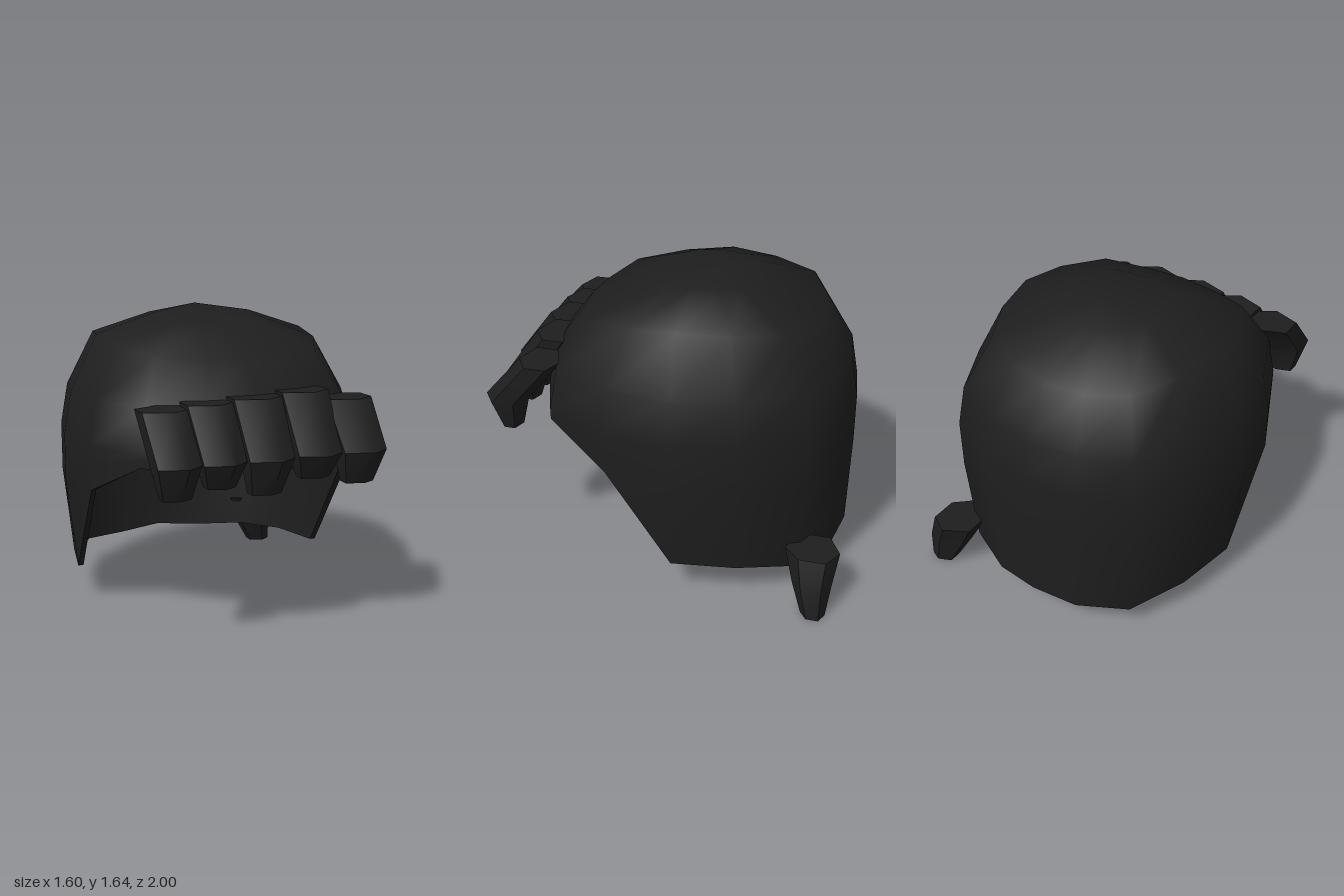
import * as THREE from 'three';
import { toCreasedNormals } from 'three/addons/utils/BufferGeometryUtils.js';

// Skin a stack of rings (top ring first, each counterclockwise from above).
function loft(rings, crease) {
  const n = rings[0].length, index = [];
  for (let i = 0; i < rings.length - 1; i++) {
    for (let j = 0; j < n; j++) {
      const a = i * n + j, b = i * n + (j + 1) % n, c = a + n, d = b + n;
      index.push(a, c, b, b, c, d);
    }
  }
  const geo = new THREE.BufferGeometry();
  geo.setAttribute('position', new THREE.Float32BufferAttribute(rings.flat(2), 3));
  geo.setIndex(index);
  return toCreasedNormals(geo, crease);
}

const centre = (ring) => {
  const mid = [0, 1, 2].map((k) => ring.reduce((s, p) => s + p[k], 0) / ring.length);
  return ring.map(() => mid);
};

// Half outline from back to front: x, z at the widest level, rim height, shoulder height
const OUTLINE = [
  [0, -0.96, 0.165, 1.44], [0.28, -0.92, 0.145, 1.45], [0.57, -0.79, 0.16, 1.47],
  [0.73, -0.47, 0.19, 1.49], [0.8, -0.12, 0.2, 1.5], [0.75, 0.23, 0.72, 1.47],
  [0.59, 0.58, 0.9, 1.43], [0.29, 0.7, 0.85, 1.4], [0, 0.73, 0.88, 1.4],
];
const MID_Z = -0.12;

function capRings(scale, drop) {
  const half = (fn) => {
    const side = OUTLINE.map(fn);
    const left = side.slice(1, -1).reverse();
    return [...side.map(([x, y, z]) => [-x, y, z]), ...left];
  };
  const ring = (s, heightOf) => half(([x, z, rim, shoulder]) => {
    const y = heightOf(rim, shoulder);
    // sides pull in slightly towards the rim
    const low = Math.max(0, (0.7 - y) / 0.5);
    const k = s * scale;
    return [x * k * (1 - 0.075 * low), y, MID_Z + (z - MID_Z) * k * (1 - 0.02 * low)];
  });
  const rings = [
    half(() => [0, 1.645 - drop, -0.22]),
    ring(0.36, (r, sh) => 1.585 - drop + (sh - 1.45) * 0.4),
    ring(0.76, (r, sh) => sh - drop),
    ring(0.95, () => 1.19 - drop / 2),
    ring(1, () => 0.96),
  ];
  for (const t of [0.35, 0.7, 1]) rings.push(ring(1, (r) => 0.96 + (r - 0.96) * t));
  return rings;
}

// A tapering, bent six-sided lock; each section is [x, y, z, half width, half depth].
const HEX = [[-1, -0.5], [-1, 0.6], [0.2, 1], [1, 0.4], [1, -0.6], [0.1, -1]];
function lock(name, sections, material) {
  const rings = sections.map(([x, y, z, w, d]) =>
    HEX.map(([u, v]) => [x + u * w, y, z + v * d]));
  rings.unshift(centre(rings[0]));
  rings.push(centre(rings[rings.length - 1]));
  const mesh = new THREE.Mesh(loft(rings, 0.8), material);
  mesh.name = name;
  return mesh;
}

export function createModel() {
  const group = new THREE.Group();
  group.name = 'hairpiece';
  const hair = new THREE.MeshStandardMaterial({ color: 0x1e1e1e });
  hair.name = 'black hair';

  // Outer hair cap
  const outer = capRings(1, 0);
  const cap = new THREE.Mesh(loft(outer, 1.1), hair);
  cap.name = 'hairCap';
  group.add(cap);

  // Inside of the cap, joined to the outer rim
  const inner = capRings(0.96, 0.035).reverse();
  const lining = new THREE.Mesh(loft([outer[outer.length - 1], ...inner], 0.8), hair);
  lining.name = 'capLining';
  group.add(lining);

  // Fringe locks: centre x, half width, top y, tip y, tip x, back shift
  const fringe = [
    [-0.505, 0.125, 1.21, 0.8, -0.505, 0],
    [-0.27, 0.125, 1.23, 0.84, -0.275, 0],
    [-0.015, 0.135, 1.245, 0.79, -0.035, 0],
    [0.26, 0.135, 1.26, 0.845, 0.245, -0.03],
    [0.51, 0.135, 1.21, 0.8, 0.495, -0.025],
  ];
  for (const [x, w, top, tip, tipX, dz] of fringe) {
    group.add(lock('fringeLock', [
      [x, top, 0.67 + dz, w, 0.115],
      [(x + tipX) / 2, 0.97, 0.875 + dz, w * 0.93, 0.12],
      [tipX, tip, 0.86 + dz, w * 0.6, 0.06],
    ], hair));
  }

  // Loose lock behind the left side
  group.add(lock('backLock', [
    [0.575, 0.325, -0.855, 0.12, 0.145],
    [0.645, 0.16, -0.87, 0.105, 0.105],
    [0.695, 0, -0.89, 0.065, 0.065],
  ], hair));

  return group;
}
